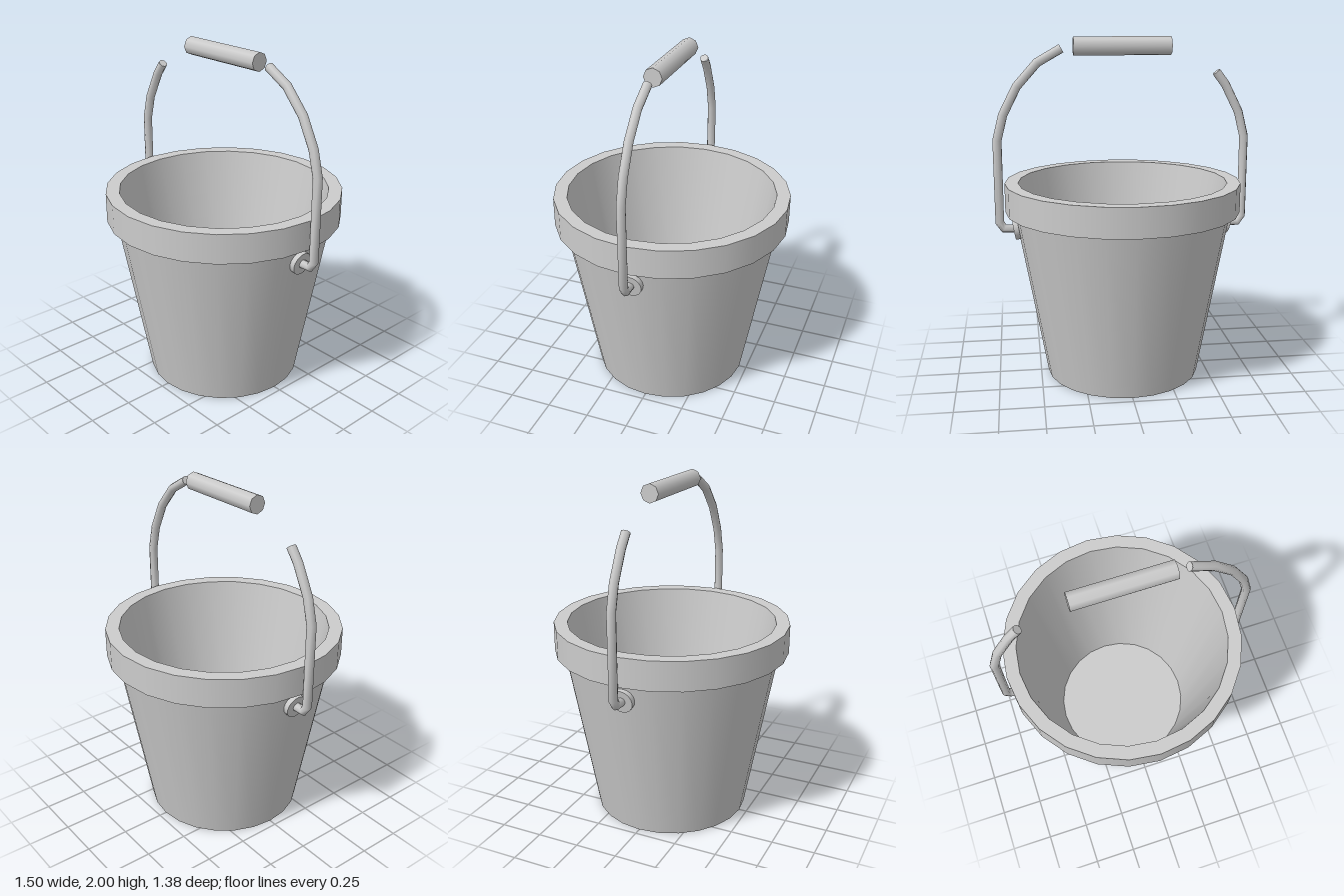
import * as THREE from 'three';
import { mergeGeometries } from 'three/addons/utils/BufferGeometryUtils.js';

const SIDES = 24;
const grey = new THREE.MeshStandardMaterial({ color: 0xcccccc });

function part(name, geometry) {
  const mesh = new THREE.Mesh(geometry, grey);
  mesh.name = name;
  return mesh;
}

// Turned shape, smooth around its axis and sharp at every profile corner
function turned(profile) {
  const bands = [];
  for (let i = 0; i < profile.length - 1; i++) {
    const pair = [profile[i], profile[i + 1]].map(([r, y]) => new THREE.Vector2(r, y));
    bands.push(new THREE.LatheGeometry(pair, SIDES));
  }
  return mergeGeometries(bands);
}

// Curve that steps exactly through its corner points, for mitred tubes
class CornerPath extends THREE.Curve {
  constructor(points) {
    super();
    this.points = points.map(([x, y]) => new THREE.Vector3(x, y, 0));
  }
  getPointAt(u) {
    return this.points[Math.round(u * (this.points.length - 1))].clone();
  }
  getTangentAt(u) {
    const p = this.points;
    const i = Math.round(u * (p.length - 1));
    const t = new THREE.Vector3();
    if (i > 0) t.add(p[i].clone().sub(p[i - 1]).normalize());
    if (i < p.length - 1) t.add(p[i + 1].clone().sub(p[i]).normalize());
    return t.normalize();
  }
}

// Bent wire with closed ends
function wire(points, radius) {
  const path = new CornerPath(points);
  const pieces = [new THREE.TubeGeometry(path, points.length - 1, radius, 8)];
  for (const u of [0, 1]) {
    const outward = path.getTangentAt(u).multiplyScalar(u ? 1 : -1);
    const cap = new THREE.CircleGeometry(radius, 8);
    cap.applyQuaternion(new THREE.Quaternion().setFromUnitVectors(new THREE.Vector3(0, 0, 1), outward));
    const p = path.getPointAt(u);
    pieces.push(cap.translate(p.x, p.y, p.z));
  }
  return mergeGeometries(pieces);
}

export function createModel() {
  const model = new THREE.Group();
  model.name = 'bucket';

  // Tapered pail: base, outer wall, then inner wall and floor
  model.add(part('outerWall', turned([[0, 0], [0.455, 0], [0.635, 1.0]])));
  model.add(part('rim', turned([[0.635, 1.0], [0.688, 1.0], [0.688, 1.17], [0.61, 1.17]])));
  model.add(part('innerWall', turned([[0.61, 1.17], [0.41, 0.06], [0, 0.06]])));

  // Broken bail: the +x arm is long, the -x arm snapped off shorter
  const lower = [[0.61, 0.9], [0.697, 0.9], [0.722, 0.938], [0.722, 1.42], [0.685, 1.565], [0.603, 1.725]];
  const arms = [
    ['left', 1, [...lower, [0.485, 1.857], [0.348, 1.935]]],
    ['right', -1, [...lower, [0.548, 1.797]]],
  ];
  for (const [label, side, points] of arms) {
    model.add(part(label + 'HandleArm', wire(points.map(([x, y]) => [side * x, y]), 0.026)));

    // Round pivot plate lying against the sloping wall
    const plate = part(label + 'PivotPlate', new THREE.CylinderGeometry(0.067, 0.067, 0.03, 16));
    plate.position.set(side * 0.626, 0.9, 0);
    plate.rotation.z = side * (-Math.PI / 2 - 0.178);
    model.add(plate);
  }

  // Loose handle grip
  const grip = part('handleGrip', new THREE.CylinderGeometry(0.053, 0.053, 0.56, 8));
  grip.rotation.z = Math.PI / 2;
  grip.position.y = 1.947;
  model.add(grip);

  return model;
}
